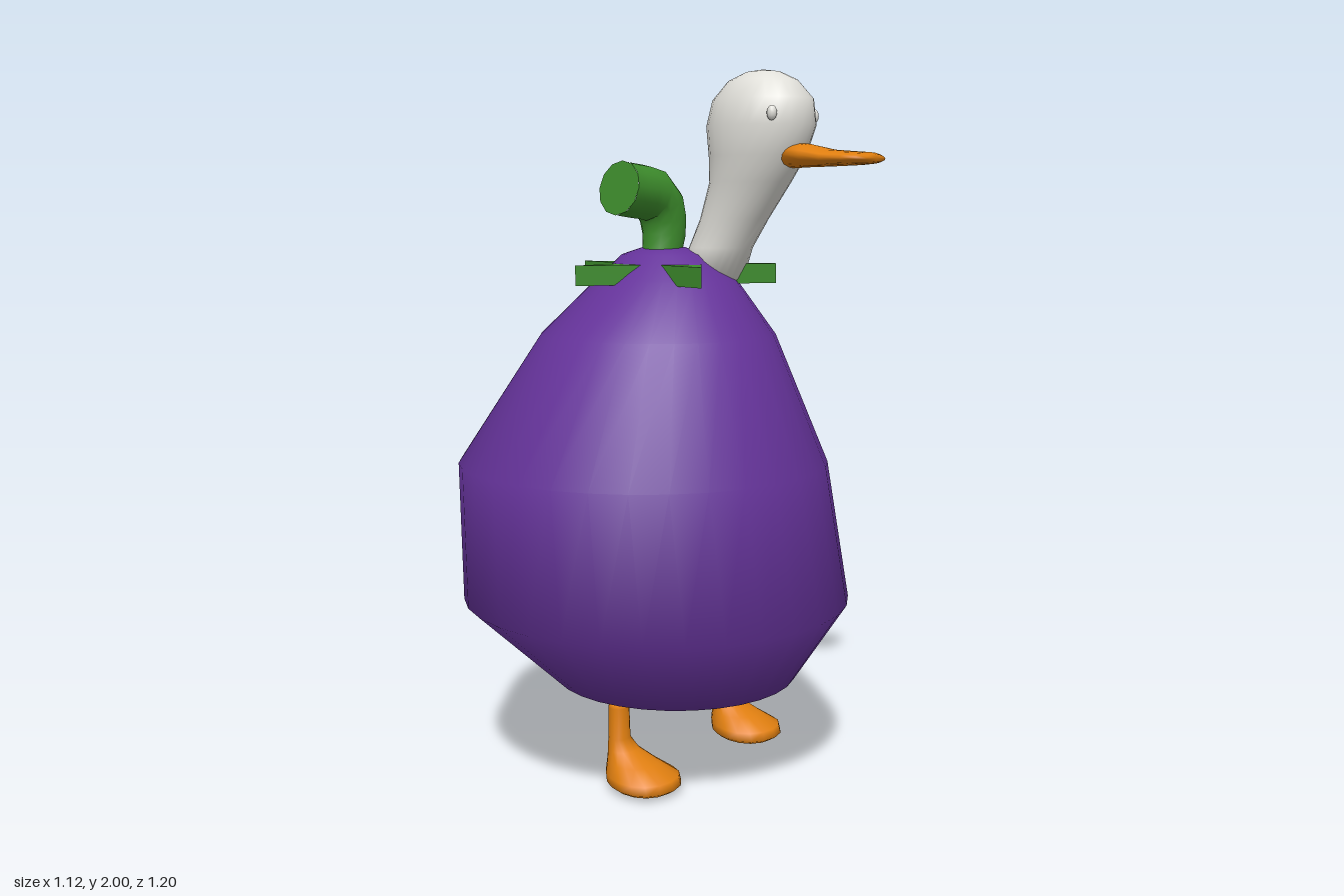
import * as THREE from 'three';

const mat = (name, color) => {
  const m = new THREE.MeshStandardMaterial({ color });
  m.name = name;
  return m;
};

// Smooth closed skin over elliptical rings [y, xMin, xMax, zMin, zMax];
// taper widens each ring towards +z, ends close on centre points
function loft(rings, sides, bottomY, topY, taper = 0) {
  const pos = [], idx = [];
  const centre = (r) => [(r[1] + r[2]) / 2, (r[3] + r[4]) / 2];
  for (const r of rings) {
    const [cx, cz] = centre(r);
    for (let j = 0; j < sides; j++) {
      const a = (j / sides) * Math.PI * 2, s = Math.sin(a);
      pos.push(cx + (r[2] - r[1]) / 2 * Math.cos(a) * (1 + taper * s), r[0], cz + (r[4] - r[3]) / 2 * s);
    }
  }
  const n = rings.length, low = n * sides, high = low + 1;
  const [bx, bz] = centre(rings[0]), [tx, tz] = centre(rings[n - 1]);
  pos.push(bx, bottomY, bz, tx, topY, tz);
  for (let j = 0; j < sides; j++) {
    const k = (j + 1) % sides;
    for (let i = 0; i < n - 1; i++) {
      const a = i * sides + j, b = i * sides + k;
      idx.push(a, a + sides, b, b, a + sides, b + sides);
    }
    idx.push(low, j, k, high, (n - 1) * sides + k, (n - 1) * sides + j);
  }
  const g = new THREE.BufferGeometry();
  g.setAttribute('position', new THREE.Float32BufferAttribute(pos, 3));
  g.setIndex(idx);
  g.computeVertexNormals();
  return g;
}

export function createModel() {
  const model = new THREE.Group();
  const purple = mat('aubergine purple', 0x65339a);
  const white = mat('feather white', 0xe0dfd9);
  const orange = mat('beak orange', 0xe07f10);
  const green = mat('leaf green', 0x3d8c2c);
  const add = (name, geometry, material, parent = model) => {
    const m = new THREE.Mesh(geometry, material);
    m.name = name;
    parent.add(m);
    return m;
  };

  // Lopsided aubergine body
  add('body', loft([
    [0.27, -0.25, 0.46, -0.37, 0.34],
    [0.53, -0.54, 0.56, -0.565, 0.54],
    [0.93, -0.565, 0.465, -0.53, 0.505],
    [1.28, -0.31, 0.355, -0.345, 0.315],
    [1.43, -0.125, 0.265, -0.225, 0.18],
    [1.5, -0.05, 0.185, -0.15, 0.1],
    [1.52, 0.01, 0.125, -0.09, 0.03],
  ], 32, 0.25, 1.522), purple);

  // Neck and head in one skin
  add('neckAndHead', loft([
    [1.43, 0.05, 0.25, 0.0, 0.165],
    [1.52, 0.06, 0.24, 0.02, 0.2],
    [1.6, 0.065, 0.235, 0.055, 0.255],
    [1.7, 0.05, 0.25, 0.088, 0.325],
    [1.77, 0.035, 0.265, 0.088, 0.37],
    [1.85, 0.025, 0.275, 0.08, 0.4],
    [1.92, 0.036, 0.264, 0.098, 0.392],
    [1.97, 0.068, 0.232, 0.145, 0.345],
    [1.993, 0.11, 0.19, 0.195, 0.295],
  ], 24, 1.43, 2.0), white);

  // Eyes
  for (const side of [-1, 1]) {
    const eye = add(side > 0 ? 'leftEye' : 'rightEye', new THREE.SphereGeometry(0.02, 12, 8), white);
    eye.scale.set(0.65, 1, 0.7);
    eye.position.set(0.15 + side * 0.105, 1.877, 0.343);
  }

  // Beak, lofted along z (ring heights are z, ring depths are -y)
  add('beak', loft([
    [0.34, 0.09, 0.21, -1.805, -1.735],
    [0.4, 0.084, 0.216, -1.798, -1.737],
    [0.47, 0.072, 0.228, -1.782, -1.738],
    [0.54, 0.062, 0.238, -1.776, -1.74],
    [0.58, 0.075, 0.225, -1.773, -1.743],
    [0.597, 0.1, 0.2, -1.767, -1.747],
  ], 16, 0.34, 0.6).rotateX(Math.PI / 2), orange);

  // Tail tuft poking out of the back
  add('tail', loft([
    [0.46, 0.03, 0.23, 0.595, 0.71],
    [0.535, 0.045, 0.215, 0.605, 0.705],
    [0.575, 0.075, 0.175, 0.625, 0.685],
    [0.595, 0.105, 0.14, 0.64, 0.665],
  ], 10, 0.46, 0.602).rotateX(-Math.PI / 2), white);

  // Legs with webbed feet
  const foot = loft([
    [0.008, -0.08, 0.08, -0.045, 0.15],
    [0.02, -0.098, 0.098, -0.057, 0.168],
    [0.045, -0.097, 0.097, -0.06, 0.16],
    [0.075, -0.066, 0.066, -0.06, 0.095],
    [0.105, -0.043, 0.043, -0.06, 0.03],
    [0.135, -0.033, 0.033, -0.06, 0.002],
    [0.225, -0.03, 0.03, -0.06, 0.0],
    [0.235, -0.026, 0.026, -0.056, -0.004],
  ], 16, 0, 0.235, 0.2);
  add('rightLeg', foot, orange).position.x = -0.145;
  add('leftLeg', foot, orange).position.x = 0.375;

  // Five-pointed leaf star, its centre sunk in the body
  const star = new THREE.Shape();
  for (let i = 0; i < 10; i++) {
    const r = i % 2 ? 0.117 : 0.306, a = Math.PI / 2 + (i * Math.PI) / 5;
    star[i ? 'lineTo' : 'moveTo'](r * Math.cos(a), r * Math.sin(a));
  }
  const leaves = new THREE.ExtrudeGeometry(star, { depth: 0.055, bevelEnabled: false }).rotateX(-Math.PI / 2);
  add('leafStar', leaves, green).position.set(0.067, 1.42, -0.015);

  // Bent stem, flaring towards its cut end
  const path = new THREE.CatmullRomCurve3([
    new THREE.Vector3(0.045, 1.47, -0.025),
    new THREE.Vector3(0.055, 1.58, -0.02),
    new THREE.Vector3(0.02, 1.655, -0.022),
    new THREE.Vector3(-0.125, 1.683, -0.036),
  ]);
  const steps = 8, sides = 12;
  const tube = new THREE.TubeGeometry(path, steps, 1, sides);
  const p = tube.attributes.position, v = new THREE.Vector3();
  for (let i = 0; i <= steps; i++) {
    const c = path.getPointAt(i / steps), r = 0.052 + 0.023 * Math.min(1, i / 5);
    for (let j = 0; j <= sides; j++) {
      const k = i * (sides + 1) + j;
      v.fromBufferAttribute(p, k).sub(c).multiplyScalar(r).add(c);
      p.setXYZ(k, v.x, v.y, v.z);
    }
  }
  const stem = new THREE.Group();
  stem.name = 'stem';
  model.add(stem);
  add('stemTube', tube, green, stem);
  const cap = add('stemEnd', new THREE.CircleGeometry(0.075, sides), green, stem);
  const end = path.getPointAt(1);
  cap.position.copy(end);
  cap.lookAt(end.clone().add(path.getTangentAt(1)));

  return model;
}
